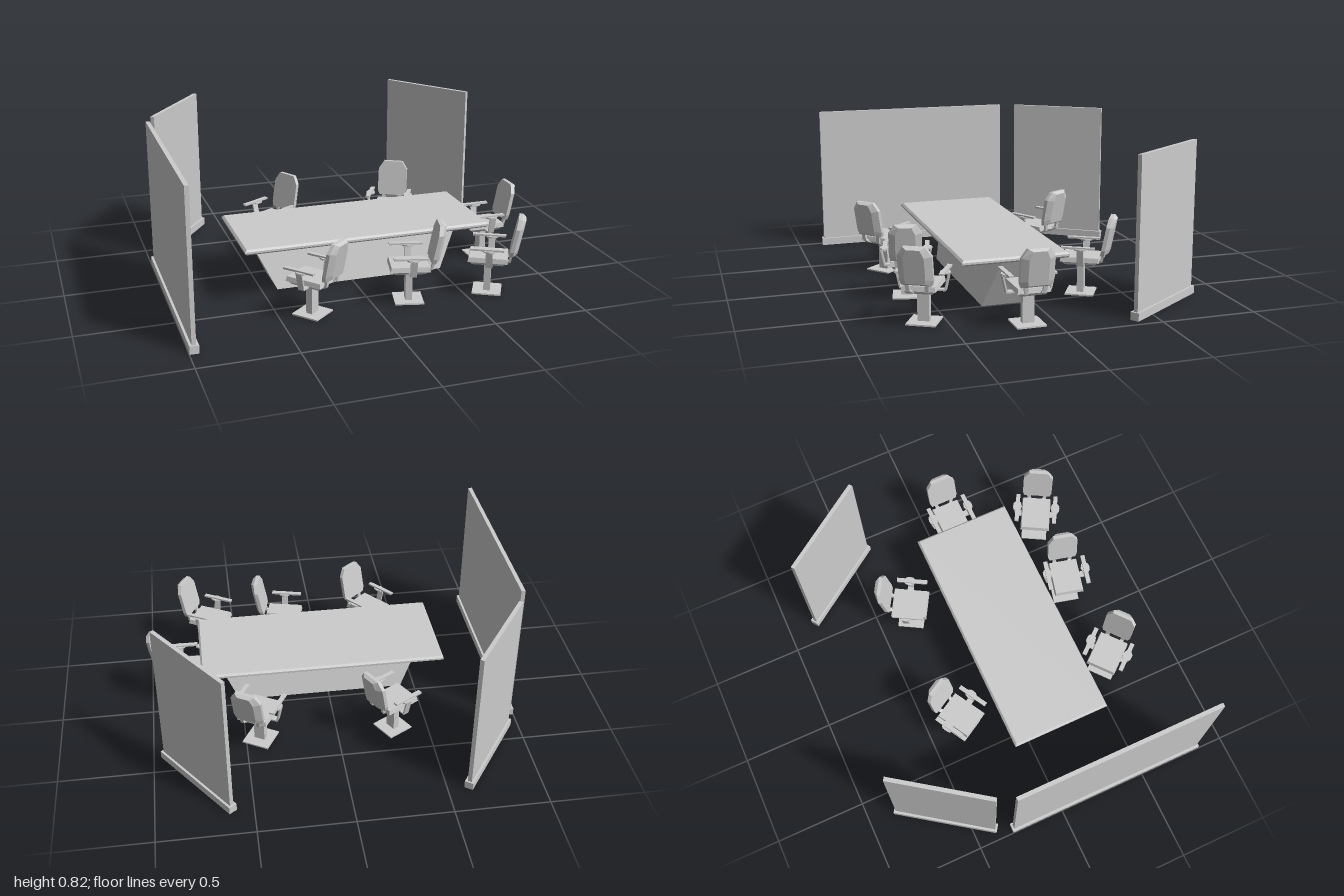
import * as THREE from 'three';

const material = new THREE.MeshStandardMaterial({ color: 0xcccccc, flatShading: true });

function mesh(name, geometry, parent) {
  const m = new THREE.Mesh(geometry, material);
  m.name = name;
  parent.add(m);
  return m;
}

function box(name, parent, w, h, d, x, y, z) {
  const m = mesh(name, new THREE.BoxGeometry(w, h, d), parent);
  m.position.set(x, y, z);
  return m;
}

// Box whose top and bottom rectangles differ in size
function frustum(name, parent, bottom, top, y0, y1) {
  const geo = new THREE.BoxGeometry(1, 1, 1);
  const p = geo.attributes.position;
  for (let i = 0; i < p.count; i++) {
    const up = p.getY(i) > 0;
    const [w, d] = up ? top : bottom;
    p.setXYZ(i, p.getX(i) * w, up ? y1 : y0, p.getZ(i) * d);
  }
  geo.computeVertexNormals();
  return mesh(name, geo, parent);
}

// Flat bar from a to b; w is its width across, d its depth front to back
function bar(name, parent, a, b, w, d) {
  const from = new THREE.Vector3(...a), to = new THREE.Vector3(...b);
  const dir = to.clone().sub(from);
  const m = mesh(name, new THREE.BoxGeometry(w, dir.length(), d), parent);
  m.position.copy(from).add(to).multiplyScalar(0.5);
  m.quaternion.setFromUnitVectors(new THREE.Vector3(0, 1, 0), dir.normalize());
  return m;
}

// Backrest: chamfered outline, narrowing to the rear and leaning backwards
function backrestGeometry() {
  const outline = [[-0.076, 0.222], [0.076, 0.222], [0.085, 0.25], [0.085, 0.375],
    [0.055, 0.42], [-0.055, 0.42], [-0.085, 0.375], [-0.085, 0.25]];
  const shape = new THREE.Shape(outline.map(([x, y]) => new THREE.Vector2(x, y)));
  const geo = new THREE.ExtrudeGeometry(shape, { depth: 0.04, steps: 2, bevelEnabled: false });
  const p = geo.attributes.position;
  for (let i = 0; i < p.count; i++) {
    let x = p.getX(i), y = p.getY(i);
    const z = p.getZ(i);
    if (z < 0.001) {
      x *= 0.6;
      y = 0.32 + (y - 0.32) * 0.88;
    }
    p.setXYZ(i, x, y, z - 0.148 - (y - 0.222) * 0.2);
  }
  geo.computeVertexNormals();
  return geo;
}

// Chair facing +z, with its column on the origin
function createChair(backGeo) {
  const chair = new THREE.Group();
  chair.name = 'chair';
  box('footPlate', chair, 0.15, 0.008, 0.15, 0, 0.004, 0);
  box('column', chair, 0.06, 0.165, 0.035, 0, 0.088, 0);
  frustum('seatPan', chair, [0.13, 0.16], [0.155, 0.19], 0.165, 0.183);
  frustum('seatCushion', chair, [0.17, 0.205], [0.16, 0.195], 0.183, 0.208);
  mesh('backrest', backGeo, chair);
  for (const s of [-1, 1]) {
    bar('backSupport', chair, [s * 0.035, 0.172, -0.08], [s * 0.045, 0.19, -0.115], 0.02, 0.012);
    bar('backSupport', chair, [s * 0.045, 0.185, -0.113], [s * 0.055, 0.265, -0.128], 0.02, 0.012);
    // Armrest: bracket under the seat, sloping post, pad and strip
    box('armBracket', chair, 0.06, 0.008, 0.035, s * 0.085, 0.173, -0.01);
    bar('armPost', chair, [s * 0.112, 0.172, -0.01], [s * 0.132, 0.262, -0.01], 0.008, 0.035);
    const pad = mesh('armPad', new THREE.CylinderGeometry(0.035, 0.035, 0.008, 8), chair);
    pad.scale.x = 0.75;
    pad.position.set(s * 0.111, 0.261, -0.01);
    box('armrest', chair, 0.024, 0.01, 0.175, s * 0.11, 0.268, 0.003);
  }
  return chair;
}

// Screen wall standing on a thicker skirting, running along x before turning
function createScreen(length, x, z, angle) {
  const screen = new THREE.Group();
  screen.name = 'screen';
  box('screenBase', screen, length, 0.042, 0.047, 0, 0.021, 0);
  box('screenPanel', screen, length - 0.02, 0.783, 0.022, 0, 0.4325, 0);
  screen.position.set(x, 0, z);
  screen.rotation.y = angle;
  return screen;
}

export function createModel() {
  const model = new THREE.Group();
  model.name = 'meetingRoom';

  // Table with a bevelled top and a tapering plinth
  const table = new THREE.Group();
  table.name = 'table';
  frustum('tableTopLower', table, [1.315, 0.53], [1.34, 0.555], 0.28, 0.29);
  frustum('tableTopEdge', table, [1.34, 0.555], [1.34, 0.555], 0.29, 0.3);
  frustum('tableTopUpper', table, [1.34, 0.555], [1.32, 0.535], 0.3, 0.31);
  frustum('tablePlinth', table, [0.93, 0.235], [1.195, 0.09], 0.005, 0.28);
  table.position.set(0.045, 0, 0.158);
  model.add(table);

  // Chairs: x, z, heading in degrees
  const backGeo = backrestGeometry();
  const places = [[-0.31, -0.305, -60], [0.42, -0.3, -30], [0.815, 0.137, -90],
    [-0.325, 0.6, -140], [0.195, 0.592, -104], [0.637, 0.607, -119]];
  for (const [x, z, deg] of places) {
    const chair = createChair(backGeo);
    chair.position.set(x, 0, z);
    chair.rotation.y = THREE.MathUtils.degToRad(deg);
    model.add(chair);
  }

  // Screens: one along the side, two angled at the back
  model.add(createScreen(1.16, -0.975, 0.28, Math.PI / 2));
  const turn = Math.atan2(0.475, 0.335);
  for (const s of [-1, 1]) model.add(createScreen(0.581, s * 0.775, -0.61, -s * turn));

  return model;
}
